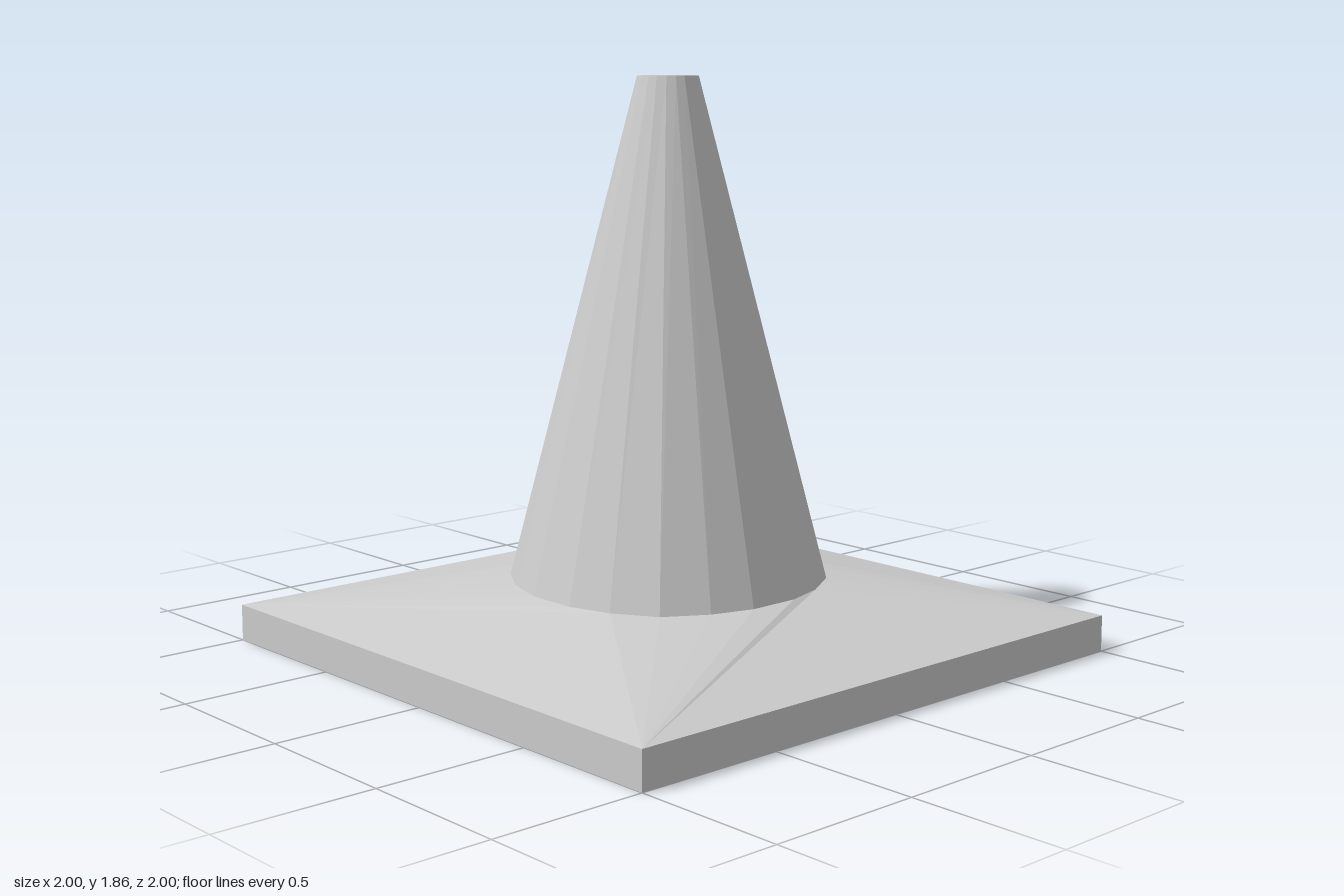
import * as THREE from 'three';

const SLAB_TOP = 0.12, COLLAR_Y = 0.235, TIP_Y = 1.86;

// one quarter of the 20-sided collar, facing +z, from the -x corner to the +x corner
const QUARTER = [[-0.366, 0.366], [-0.23, 0.449], [-0.088, 0.491], [0.088, 0.491], [0.23, 0.449], [0.366, 0.366]];

function facetMesh(name, triangles, material) {
  const geometry = new THREE.BufferGeometry().setFromPoints(triangles);
  geometry.computeVertexNormals(); // unshared corners give flat facets
  const mesh = new THREE.Mesh(geometry, material);
  mesh.name = name;
  return mesh;
}

export function createModel() {
  const grey = new THREE.MeshStandardMaterial({ color: 0xcccccc });
  grey.name = 'grey';
  const model = new THREE.Group();
  model.name = 'trafficCone';

  // square foot
  const slab = new THREE.Mesh(new THREE.BoxGeometry(2, SLAB_TOP, 2).translate(0, SLAB_TOP / 2, 0), grey);
  slab.name = 'baseSlab';
  model.add(slab);

  const up = new THREE.Vector3(0, 1, 0);
  const skirt = [], body = [], cap = [];
  for (let side = 0; side < 4; side++) {
    const turn = (x, y, z) => new THREE.Vector3(x, y, z).applyAxisAngle(up, side * Math.PI / 2);
    const low = QUARTER.map(([x, z]) => turn(x, COLLAR_Y, z));
    const high = QUARTER.map(([x, z]) => {
      const r = 0.098 / Math.hypot(x, z);
      return turn(x * r, TIP_Y, z * r);
    });
    const a = turn(-1, SLAB_TOP, 1), b = turn(1, SLAB_TOP, 1), tip = turn(0, TIP_Y, 0);

    // sloping skirt from the slab edge up to the collar
    skirt.push(a, b, low[4], b, low[5], low[4]);
    for (let i = 0; i < 4; i++) skirt.push(a, low[i + 1], low[i]);

    // tapered body and flat tip
    for (let i = 0; i < 5; i++) {
      body.push(low[i], low[i + 1], high[i + 1], low[i], high[i + 1], high[i]);
      cap.push(high[i], high[i + 1], tip);
    }
  }
  model.add(
    facetMesh('baseSkirt', skirt, grey),
    facetMesh('coneBody', body, grey),
    facetMesh('coneTip', cap, grey),
  );
  return model;
}
